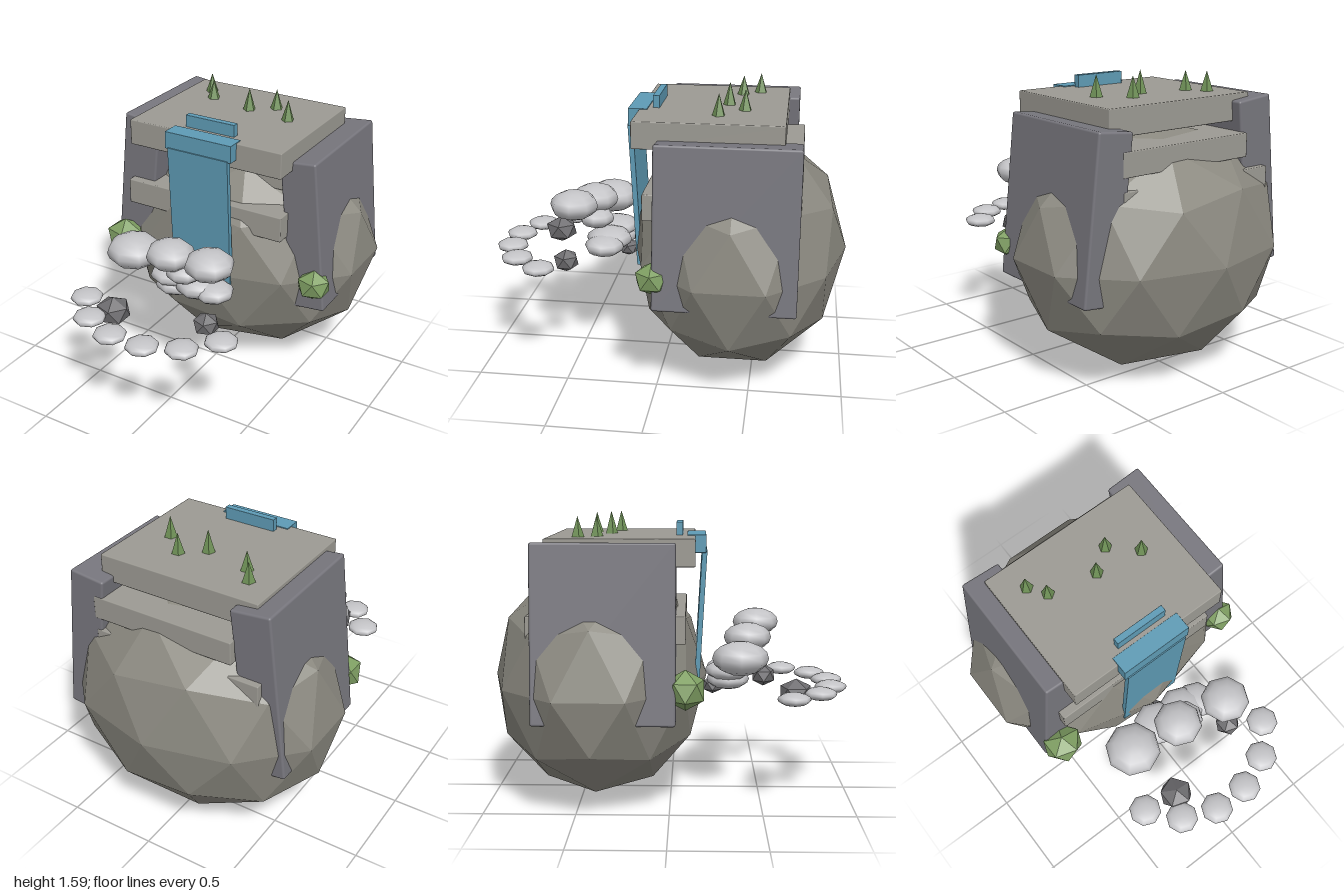
import * as THREE from 'three';
import { RoundedBoxGeometry } from 'three/addons/geometries/RoundedBoxGeometry.js';

const material = (name, color, flatShading = false) => {
  const m = new THREE.MeshStandardMaterial({ color, flatShading });
  m.name = name;
  return m;
};

export function createModel() {
  const rockMat = material('cliffRock', 0x8b8980, true);
  const slabMat = material('paleStone', 0x9c9a93);
  const wallMat = material('darkStone', 0x77767d);
  const waterMat = material('water', 0x5e9bb5);
  const mistMat = material('mistStone', 0xc4c4c7);
  const darkMat = material('wetRock', 0x6e6d70, true);
  const shrubMat = material('shrubGreen', 0x7f9f63, true);
  const treeMat = material('treeGreen', 0x6f9157, true);

  const model = new THREE.Group();
  model.name = 'waterfallCliff';
  const add = (name, geometry, mat, x, y, z, parent = model) => {
    const mesh = new THREE.Mesh(geometry, mat);
    mesh.name = name;
    mesh.position.set(x, y, z);
    parent.add(mesh);
    return mesh;
  };
  const group = (name) => {
    const g = new THREE.Group();
    g.name = name;
    model.add(g);
    return g;
  };

  // Faceted ball with a corner at its pole
  const facetBall = (detail) =>
    new THREE.IcosahedronGeometry(1, detail).rotateZ(-Math.atan(2 / (1 + Math.sqrt(5))));

  // Box given by its limits on each axis
  const block = (name, mat, [x0, x1], [y0, y1], [z0, z1], r = 0.006) =>
    add(name, new RoundedBoxGeometry(x1 - x0, y1 - y0, z1 - z0, 1, r), mat,
      (x0 + x1) / 2, (y0 + y1) / 2, (z0 + z1) / 2);

  // Big rock
  add('mainRock', facetBall(1), rockMat, 0, 0.67, -0.4).scale.set(0.789, 0.67, 0.6);

  // Stacked ledges
  block('lowerLedge', slabMat, [-0.53, 0.45], [0.93, 1.075], [-0.745, 0.085]);
  block('middleLedge', slabMat, [-0.375, 0.456], [1.143, 1.272], [-0.745, -0.1]);
  block('topSlab', slabMat, [-0.47, 0.467], [1.323, 1.468], [-0.65, 0.135]);

  // Leaning side walls
  const wall = (name, w, h, x, y, z, tilt) => {
    add(name, new RoundedBoxGeometry(w, h, 0.745, 2, 0.012), wallMat, x, y, z).rotation.z = tilt;
  };
  wall('leftWall', 0.208, 0.865, 0.539, 0.945, -0.37, 0.105);
  wall('rightWall', 0.225, 0.933, -0.508, 0.98, -0.337, -0.105);

  // Waterfall
  block('streamCrest', waterMat, [-0.15, 0.15], [1.465, 1.535], [0.03, 0.066], 0.002);
  block('waterLip', waterMat, [-0.203, 0.203], [1.376, 1.473], [0.09, 0.193], 0.002);
  add('waterSheet', new THREE.BoxGeometry(0.37, 0.81, 0.028), waterMat, 0, 0.98, 0.163).rotation.x = 0.055;

  // Smooth flattened stones: x, y, z, radius, half height
  const pebble = new THREE.SphereGeometry(1, 8, 8);
  const mist = group('mistStones');
  [
    [-0.297, 0.817, 0.38, 0.153, 0.092],
    [-0.025, 0.89, 0.43, 0.133, 0.08],
    [0.254, 0.936, 0.49, 0.133, 0.08],
    [0.047, 0.795, 0.41, 0.1, 0.057],
    [-0.08, 0.71, 0.32, 0.13, 0.055],
    [0.09, 0.69, 0.33, 0.13, 0.065],
    [0.19, 0.68, 0.34, 0.11, 0.055],
    [-0.06, 0.655, 0.32, 0.12, 0.055],
  ].forEach(([x, y, z, r, h]) => add('mistStone', pebble, mistMat, x, y, z, mist).scale.set(r, h, r));

  // Arc of stepping stones, mirrored
  const ring = group('steppingStones');
  for (const side of [-1, 1]) {
    for (const [x, z] of [[0.426, 0.66], [0.288, 0.817], [0.1, 0.895]]) {
      add('steppingStone', pebble, mistMat, side * x, 0.622, z, ring).scale.set(0.09, 0.035, 0.09);
    }
  }

  // Dark angular rocks
  const chunk = facetBall(0);
  const rocks = group('wetRocks');
  [
    [-0.228, 0.612, 0.688, 0.098, 0.08],
    [0.265, 0.61, 0.543, 0.075, 0.065],
    [0, 0.605, 0.235, 0.06, 0.048],
  ].forEach(([x, y, z, r, h]) => add('wetRock', chunk, darkMat, x, y, z, rocks).scale.set(r, h, r));

  // Shrubs beside the walls
  add('rightShrub', chunk, shrubMat, -0.57, 0.7, 0.085).scale.set(0.12, 0.108, 0.112);
  add('leftShrub', chunk, shrubMat, 0.623, 0.682, 0.005).scale.set(0.1, 0.088, 0.095);

  // Small trees on the top slab: x, z, height
  const trees = group('trees');
  [
    [-0.317, -0.487, 0.108],
    [-0.25, -0.393, 0.106],
    [0.017, -0.335, 0.124],
    [0.141, -0.427, 0.112],
    [0.278, -0.298, 0.116],
  ].forEach(([x, z, h]) =>
    add('tree', new THREE.ConeGeometry(0.036, h, 5), treeMat, x, 1.468 + h / 2, z, trees));

  return model;
}
